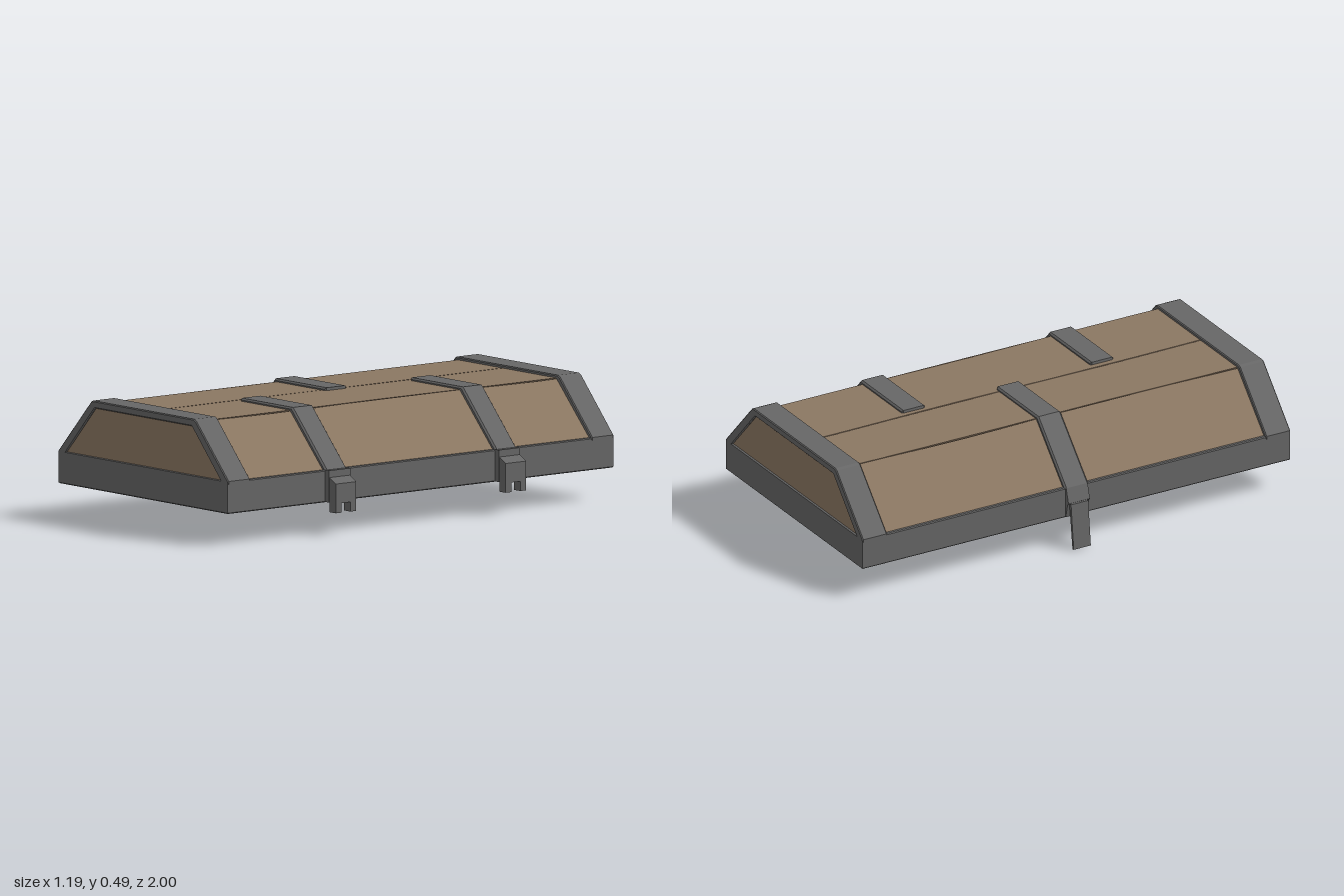
import * as THREE from 'three';

const metal = new THREE.MeshStandardMaterial({ color: 0x666666 });
metal.name = 'iron';
const wood = new THREE.MeshStandardMaterial({ color: 0x8b7762 });
wood.name = 'wood';

const makeShape = (pts) => new THREE.Shape(pts.map(([x, y]) => new THREE.Vector2(x, y)));

// Extrudes an xy outline along z, centred on zMid, with a small chamfer kept inside the outline
function slab(name, material, pts, depth, zMid = 0, bevel = 0, hole = null) {
  const shape = makeShape(pts);
  if (hole) shape.holes.push(makeShape(hole));
  const geo = new THREE.ExtrudeGeometry(shape, {
    depth: depth - 2 * bevel, bevelEnabled: bevel > 0, bevelThickness: bevel,
    bevelSize: bevel, bevelOffset: -bevel, bevelSegments: 1,
  });
  geo.translate(0, 0, zMid - depth / 2 + bevel);
  const mesh = new THREE.Mesh(geo, material);
  mesh.name = name;
  return mesh;
}

const rect = (x0, y0, x1, y1) => [[x0, y0], [x1, y0], [x1, y1], [x0, y1]];

// Plank joints across the lid: outer and inner corners
const OUTER = [[-0.539, 0.257], [-0.325, 0.479], [-0.035, 0.479], [0.305, 0.479], [0.519, 0.257]];
const INNER = [[-0.489, 0.245], [-0.307, 0.434], [-0.035, 0.434], [0.287, 0.434], [0.469, 0.245]];

// One plank lofted along z; its outer edges waver to leave thin worn grooves
function plank(i) {
  const [a, b, c, d] = [OUTER[i], OUTER[i + 1], INNER[i + 1], INNER[i]];
  const n = 10, pos = [];
  const section = (k) => {
    const z = -0.975 + (1.95 * k) / n;
    const gap = (s) => Math.max(0.001, 0.006 + 0.012 * Math.sin(k * 0.9 + s * 2.3));
    const lerp = (p, q, t) => [p[0] + (q[0] - p[0]) * t, p[1] + (q[1] - p[1]) * t];
    const ga = i === 0 ? 0 : gap(i), gb = i === 3 ? 0 : gap(i + 5);
    return [lerp(a, b, ga), lerp(b, a, gb), c, d].map(([x, y]) => [x, y, z]);
  };
  const quad = (p, q, r, s) => pos.push(...p, ...q, ...r, ...p, ...r, ...s);
  for (let k = 0; k < n; k++) {
    const s = section(k), t = section(k + 1);
    for (let e = 0; e < 4; e++) {
      const f = (e + 1) % 4;
      quad(s[e], t[e], t[f], s[f]);
    }
  }
  quad(...section(0));
  quad(...section(n).reverse());
  const geo = new THREE.BufferGeometry();
  geo.setAttribute('position', new THREE.Float32BufferAttribute(pos, 3));
  geo.computeVertexNormals();
  const mesh = new THREE.Mesh(geo, wood);
  mesh.name = 'plank';
  return mesh;
}

export function createModel() {
  const lid = new THREE.Group();
  lid.name = 'chestLid';

  // Wooden shell
  for (let i = 0; i < 4; i++) lid.add(plank(i));

  // Open iron rim, thin along the sides and deep at the ends
  const rim = slab('rim', metal, rect(-0.55, -1, 0.53, 1), 0.131, 0, 0.004, rect(-0.5, -0.9, 0.48, 0.9));
  rim.geometry.rotateX(-Math.PI / 2);
  rim.position.y = 0.1955;
  lid.add(rim);

  // End arches with thick inset wooden panels
  const arch = [[0.533, 0.25], [0.533, 0.263], [0.326, 0.485], [0.314, 0.491], [-0.332, 0.491], [-0.344, 0.485], [-0.553, 0.263], [-0.553, 0.25]];
  const archHole = [[0.484, 0.262], [-0.504, 0.262], [-0.318, 0.461], [0.298, 0.461]];
  const panel = [[0.5, 0.245], [0.303, 0.472], [-0.323, 0.472], [-0.52, 0.245]];
  for (const side of [-1, 1]) {
    lid.add(slab('endArch', metal, arch, 0.115, side * 0.9425, 0.004, archHole));
    lid.add(slab('endPanel', wood, panel, 0.1, side * 0.942));
  }

  // Two hinge straps on the left side
  const hingeStrap = [[-0.01, 0.47], [0.295, 0.47], [0.5, 0.25], [0.535, 0.25], [0.535, 0.262], [0.318, 0.491], [-0.01, 0.491]];
  const knuckle = [[0.55, 0.132], [0.596, 0.132], [0.596, 0.212], [0.55, 0.237]];
  for (const z of [-0.44, 0.44]) {
    const hinge = new THREE.Group();
    hinge.name = 'hinge';
    hinge.add(slab('hingeStrap', metal, hingeStrap, 0.11, z, 0.007));
    hinge.add(slab('hingePlate', metal, rect(0.52, 0.132, 0.556, 0.262), 0.11, z));
    hinge.add(slab('hingeKnuckle', metal, knuckle, 0.106, z));
    for (const s of [-1, 1]) {
      hinge.add(slab('hingeProng', metal, rect(0.556, 0.093, 0.596, 0.14), 0.03, z + s * 0.038));
    }
    lid.add(hinge);
  }

  // Latch strap, mount and hanging hasp on the right side
  const latchStrap = [[-0.01, 0.491], [-0.335, 0.491], [-0.555, 0.262], [-0.555, 0.25], [-0.52, 0.25], [-0.315, 0.47], [-0.01, 0.47]];
  const mount = [[-0.54, 0.262], [-0.555, 0.262], [-0.574, 0.2], [-0.566, 0.19], [-0.552, 0.132], [-0.54, 0.132]];
  const hasp = [[-0.563, 0.195], [-0.57, 0.202], [-0.577, 0.195], [-0.598, 0.003], [-0.588, 0]];
  lid.add(slab('latchStrap', metal, latchStrap, 0.11, 0, 0.007));
  lid.add(slab('latchMount', metal, mount, 0.1));
  lid.add(slab('latchHasp', metal, hasp, 0.08));

  return lid;
}
